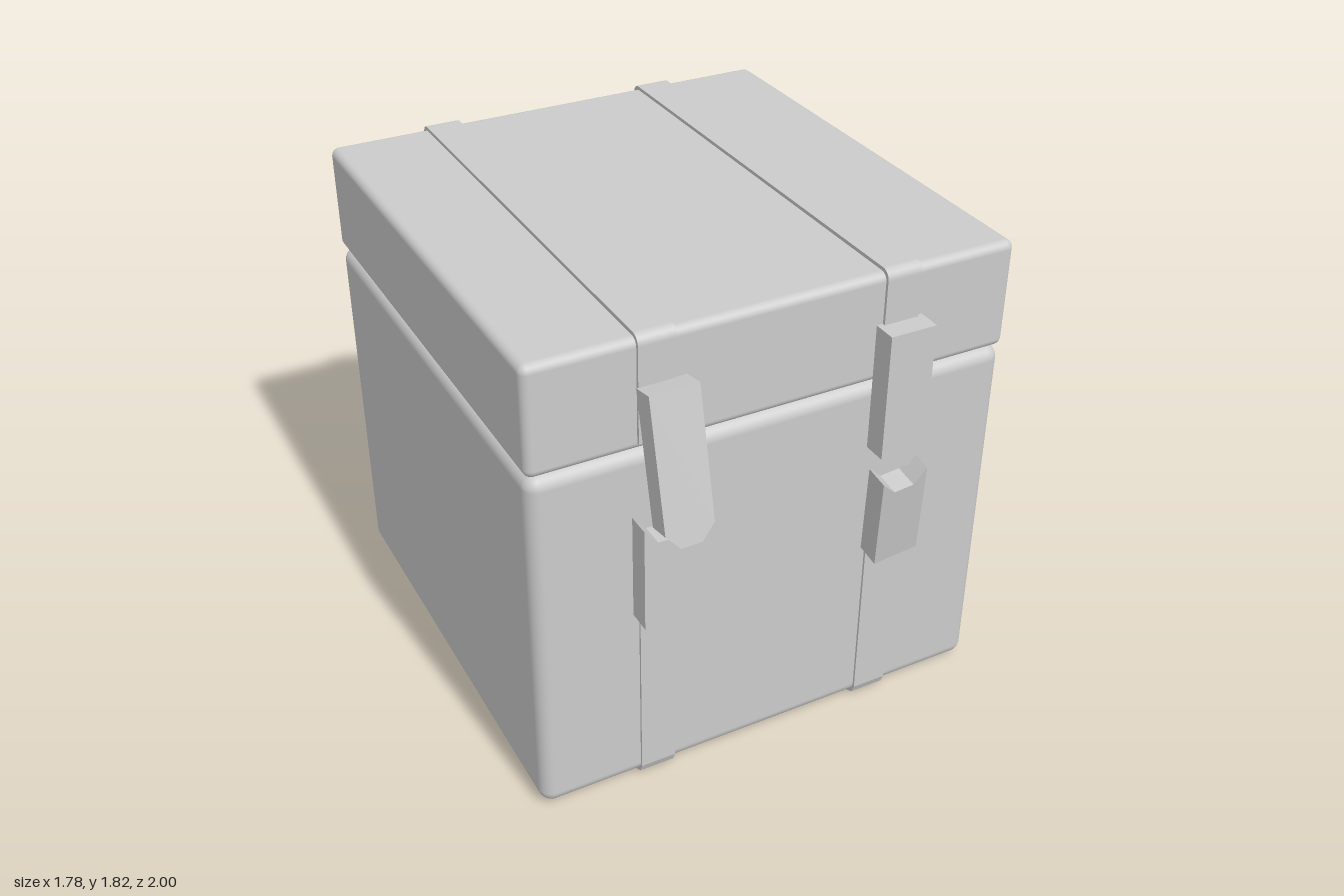
import * as THREE from 'three';
import { RoundedBoxGeometry } from 'three/addons/geometries/RoundedBoxGeometry.js';

const material = new THREE.MeshStandardMaterial({ color: 0xcccccc });
const FRONT = 0.807, BACK = -0.985;

export function createModel() {
  const model = new THREE.Group();
  model.name = 'strappedBox';

  const add = (name, geometry, x = 0, y = 0, z = 0) => {
    const mesh = new THREE.Mesh(geometry, material);
    mesh.name = name;
    mesh.position.set(x, y, z);
    model.add(mesh);
    return mesh;
  };

  // Box body and lid
  const roundedBox = (name, y0, y1, radius) => add(
    name,
    new RoundedBoxGeometry(1.785, y1 - y0, FRONT - BACK, 4, radius),
    0, (y0 + y1) / 2, (FRONT + BACK) / 2);
  roundedBox('body', 0.012, 1.397, 0.05);
  roundedBox('lid', 1.402, 1.803, 0.03);

  // Strap profiles are drawn in the (z, y) plane and extruded across x
  const strap = (name, shape, x) => {
    const width = 0.132;
    const geometry = new THREE.ExtrudeGeometry(shape, { depth: width, bevelEnabled: false, curveSegments: 5 });
    geometry.translate(0, 0, -width / 2).rotateY(-Math.PI / 2);
    add(name, geometry, x);
  };

  // Lid strap: over the top and down both ends
  const f = 0.818, b = -0.999, t = 1.816, r = 0.035;
  const over = new THREE.Shape();
  over.moveTo(f, 1.43);
  over.lineTo(f, t - r);
  over.absarc(f - r, t - r, r, 0, Math.PI / 2);
  over.lineTo(b + r, t);
  over.absarc(b + r, t - r, r, Math.PI / 2, Math.PI);
  over.lineTo(b, 1.43);
  over.lineTo(b + 0.03, 1.43);
  over.lineTo(b + 0.03, t - 0.03);
  over.lineTo(f - 0.03, t - 0.03);
  over.lineTo(f - 0.03, 1.43);

  // Body strap: down the front, curling under the bottom edge
  const down = new THREE.Shape();
  down.moveTo(0.816, 0.85);
  down.lineTo(0.798, 0.85);
  down.lineTo(0.798, 0.05);
  down.lineTo(0.79, 0.028);
  down.lineTo(0.768, 0.012);
  down.lineTo(0.772, 0);
  down.lineTo(0.803, 0.017);
  down.lineTo(0.816, 0.05);

  // Buckle outlines, hung from the top (tongue) or standing on the base (socket)
  const w = 0.0875, tip = 0.038;
  const polygon = (points) => new THREE.Shape(points.map(([x, y]) => new THREE.Vector2(x, y)));
  const tongue = polygon([[-w, 0], [-w, -0.475], [-tip, -0.53], [tip, -0.53], [w, -0.475], [w, 0]]);
  const socket = polygon([[-w, 0], [w, 0], [w, 0.4], [tip, 0.342], [-tip, 0.342], [-w, 0.4]]);
  const buckle = (name, shape, position, tilt = 0, roll = 0) => {
    const depth = 0.088;
    const geometry = new THREE.ExtrudeGeometry(shape, { depth, bevelEnabled: false });
    geometry.translate(0, 0, -depth / 2);
    const mesh = add(name, geometry, ...position);
    mesh.rotation.set(tilt, 0, roll, 'ZXY');
  };

  for (const [side, x] of [['right', -0.45], ['left', 0.445]]) {
    strap(side + 'LidStrap', over, x);
    strap(side + 'BodyStrap', down, x);
  }

  // One tongue swings outward, and the opposite socket hangs askew
  buckle('rightTongue', tongue, [-0.434, 1.646, 0.856], -0.2, 0.015);
  buckle('rightSocket', socket, [-0.45, 0.75, 0.85]);
  buckle('leftTongue', tongue, [0.443, 1.62, 0.851]);
  buckle('leftSocket', socket, [0.448, 0.718, 0.855], 0.17, 0.1);

  return model;
}
